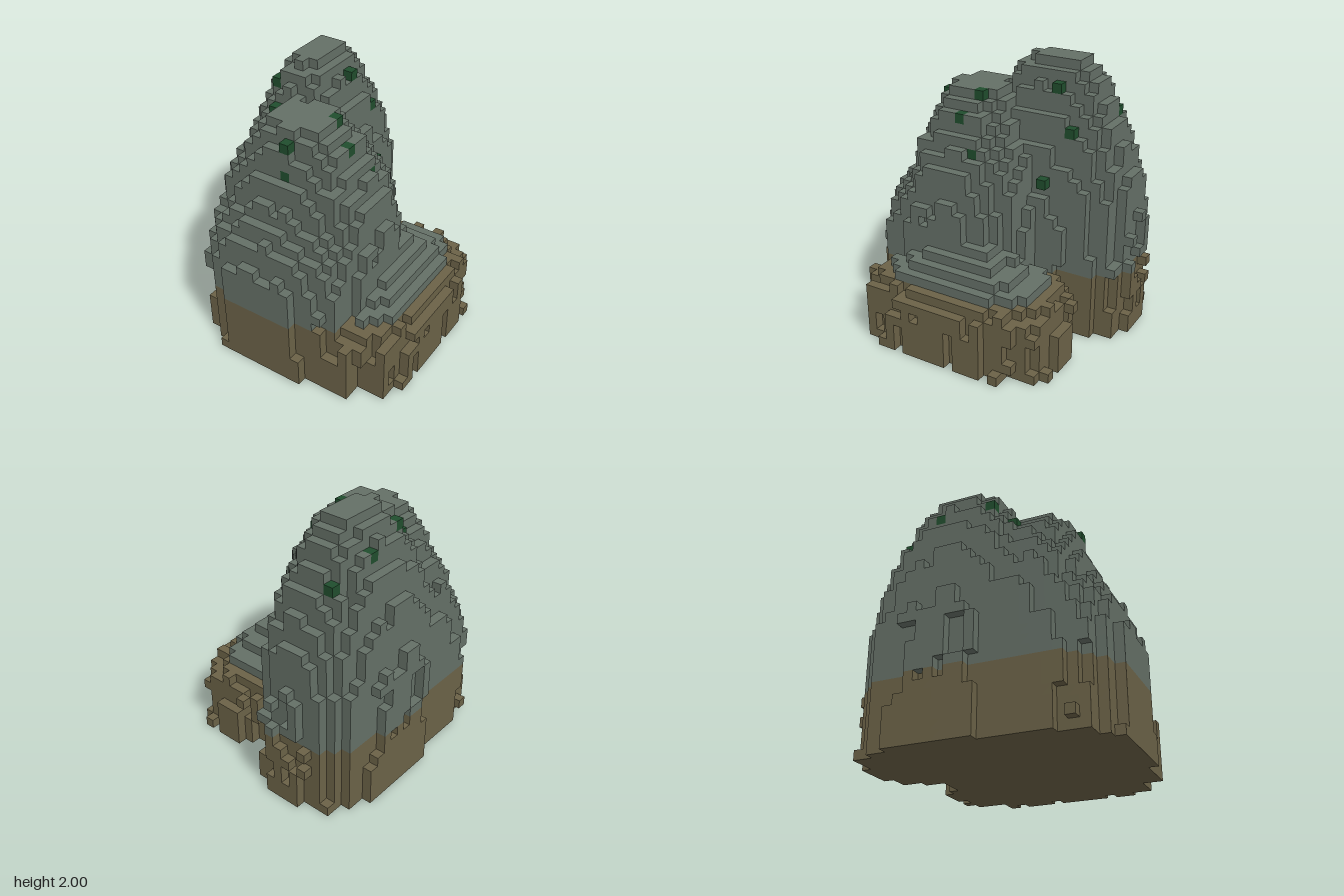
import * as THREE from 'three';

const NX = 24, NY = 28, NZ = 26, S = 2 / NY; // grid of cubes
const DIRT_ROWS = 7;

// Relative radius against relative height
const peakProfile = [[0, 1.01], [0.44, 0.98], [0.6, 0.875], [0.71, 0.785], [0.8, 0.67], [0.9, 0.5], [0.95, 0.38], [1, 0.24]];
const frontProfile = [[0, 1.02], [0.55, 1], [0.72, 0.88], [0.82, 0.69], [0.92, 0.53], [1, 0.33]];
const shoulderProfile = [[0, 1.02], [0.5, 0.99], [0.59, 0.88], [0.68, 0.74], [0.77, 0.58], [0.86, 0.43], [1, 0.2]];

// Mounds: centre, radii (front and back differ), height, corner roundness, roughness
const mounds = [
  { x: -0.39, z: -0.22, rx: 0.47, front: 0.71, back: 0.71, h: 2.0, p: 2.4, rough: 0.09, profile: peakProfile },
  { x: -0.14, z: 0.32, rx: 0.64, front: 0.41, back: 0.64, h: 1.79, p: 2.5, rough: 0.09, profile: frontProfile },
  { x: -0.14, z: 0.45, rx: 0.65, front: 0.48, back: 0.48, h: 1.34, p: 2.4, rough: 0.07, profile: frontProfile },
  { x: 0.4, z: 0.07, rx: 0.46, front: 0.79, back: 0.79, h: 0.79, p: 3, rough: 0.16, profile: shoulderProfile },
];

function radiusAt(profile, t) {
  for (let i = 1; i < profile.length; i++) {
    const [t0, r0] = profile[i - 1], [t1, r1] = profile[i];
    if (t <= t1) return r0 + (r1 - r0) * (t - t0) / (t1 - t0);
  }
  return 0;
}

// Repeatable noise from grid coordinates
function hash(i, j, k) {
  let n = Math.imul(i + 11, 374761393) ^ Math.imul(j + 7, 668265263) ^ Math.imul(k + 3, 1274126177);
  n = Math.imul(n ^ (n >>> 13), 1274126177);
  return ((n ^ (n >>> 16)) >>> 0) / 4294967296;
}

const centre = (i, j, k) => [(i + 0.5 - NX / 2) * S, (j + 0.5) * S, (k + 0.5 - NZ / 2) * S];

function isRock(i, j, k) {
  const [x, y, z] = centre(i, j, k);
  // Tall streaks plus a little single-cube roughness
  const streak = 0.75 * hash(i, j >> 2, k) ** 2 + 0.25 * hash(i, j + 50, k);
  return mounds.some((m) => {
    if (y > m.h) return false;
    const dx = Math.abs(x - m.x) / m.rx;
    const dz = Math.abs(z - m.z) / (z > m.z ? m.front : m.back);
    const d = (dx ** m.p + dz ** m.p) ** (1 / m.p);
    const r = radiusAt(m.profile, y / m.h);
    return d < r - m.rough * streak * r;
  });
}

// Shrub cubes: position and the axis (0 x, 1 y, 2 z) along which each lies open
const shrubs = [
  [-0.54, 1.61, -0.61, 1], [-0.61, 1.39, -0.54, 1], [-0.11, 1.54, -0.46, 1], [-0.61, 1.75, -0.32, 1],
  [-0.18, 1.82, -0.32, 1], [0.04, 1.18, -0.32, 1], [-0.54, 1.82, 0.04, 1], [-0.46, 1.68, 0.18, 1],
  [0.04, 1.75, 0.18, 1], [0.18, 1.61, 0.25, 1], [-0.11, 1.68, 0.54, 1], [-0.11, 1.46, 0.54, 2],
  [0.25, 1.39, 0.11, 0],
];

function buildCells() {
  const cells = new Map();
  const key = (i, j, k) => (i + 1) + (j + 1) * 40 + (k + 1) * 1600;
  for (let i = 0; i < NX; i++) for (let j = 0; j < NY; j++) for (let k = 0; k < NZ; k++) {
    if (isRock(i, j, k)) cells.set(key(i, j, k), { at: [i, j, k], kind: j < DIRT_ROWS ? 'dirt' : 'stone' });
  }
  for (const [x, y, z, axis] of shrubs) {
    const at = [Math.floor(x / S + NX / 2), Math.floor(y / S), Math.floor(z / S + NZ / 2)];
    cells.set(key(...at), { at, kind: 'shrub' });
    const outer = [...at];
    while (++outer[axis] < NY) cells.delete(key(...outer));
  }
  return { cells, key };
}

// Outer faces of all cubes of one kind
function surface({ cells, key }, kind) {
  const pos = [], nor = [], idx = [];
  for (const cell of cells.values()) {
    if (cell.kind !== kind) continue;
    for (let a = 0; a < 3; a++) for (const s of [1, -1]) {
      const next = [...cell.at];
      next[a] += s;
      if (cells.has(key(...next))) continue;
      const u = (a + 1) % 3, v = (a + 2) % 3, base = pos.length / 3;
      const n = [0, 0, 0];
      n[a] = s;
      for (const [du, dv] of [[-1, -1], [1, -1], [1, 1], [-1, 1]]) {
        const c = centre(...cell.at);
        c[a] += s * S / 2;
        c[u] += du * S / 2;
        c[v] += dv * S / 2;
        pos.push(...c);
        nor.push(...n);
      }
      const order = s > 0 ? [0, 1, 2, 0, 2, 3] : [0, 2, 1, 0, 3, 2];
      idx.push(...order.map((o) => base + o));
    }
  }
  const g = new THREE.BufferGeometry();
  g.setAttribute('position', new THREE.Float32BufferAttribute(pos, 3));
  g.setAttribute('normal', new THREE.Float32BufferAttribute(nor, 3));
  g.setIndex(idx);
  return g;
}

export function createModel() {
  const group = new THREE.Group();
  group.name = 'mountain';
  const grid = buildCells();
  const parts = [
    ['stone', 'stoneSlopes', 'stone grey', 0x646f66],
    ['dirt', 'dirtBase', 'dirt brown', 0x6b6247],
    ['shrub', 'shrubs', 'shrub green', 0x204d2d],
  ];
  for (const [kind, name, colourName, color] of parts) {
    const material = new THREE.MeshStandardMaterial({ color });
    material.name = colourName;
    const mesh = new THREE.Mesh(surface(grid, kind), material);
    mesh.name = name;
    group.add(mesh);
  }
  return group;
}
